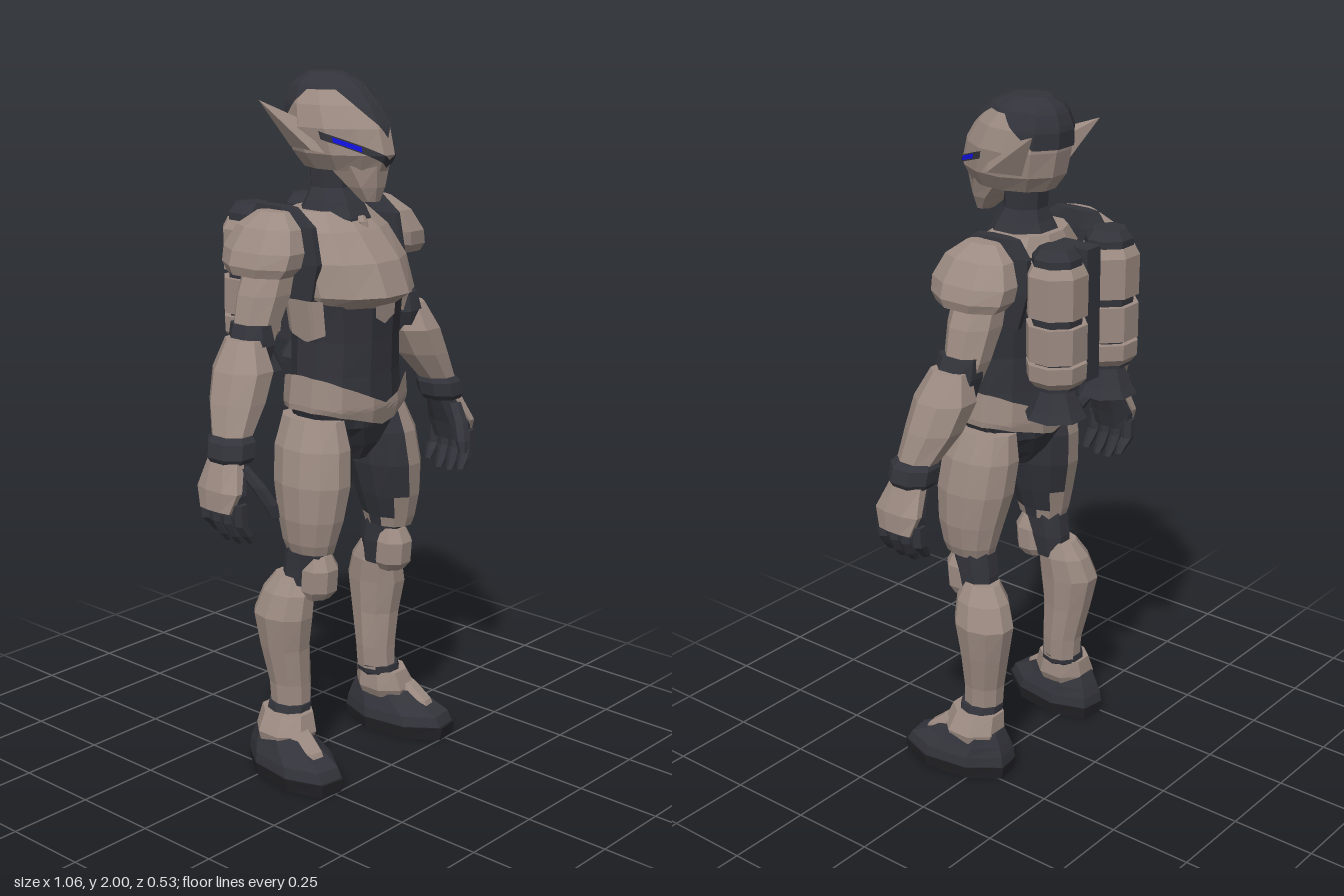
import * as THREE from 'three';
import { ConvexGeometry } from 'three/addons/geometries/ConvexGeometry.js';

const mat = (name, color) => Object.assign(new THREE.MeshStandardMaterial({ color }), { name });
const TAN = mat('tan armour', 0x9c8b82);
const DARK = mat('dark undersuit', 0x33343b);
const SOLE = mat('sole black', 0x232327);
const BLUE = mat('eye blue', 0x1414ff);

// A body is a stack of polygon rings: [y, centreX, centreZ, halfWidth, halfDepth], lowest first.
// Point on the ring stack at height y and angle t (0 = front, growing toward +x).
function surf(secs, n, pinch, t, y, grow = 0) {
  let i = 0;
  while (i < secs.length - 2 && y > secs[i + 1][0]) i++;
  const a = secs[i], b = secs[i + 1];
  const k = THREE.MathUtils.clamp((y - a[0]) / (b[0] - a[0]), 0, 1);
  const [, cx, cz, rx, rz] = a.map((v, j) => v + (b[j] - v) * k);
  const step = 2 * Math.PI / n, r = 1 / Math.cos(t - Math.round(t / step) * step);
  const narrow = 1 - pinch * Math.max(0, Math.cos(t));
  return [cx + Math.sin(t) * r * (rx + grow) * narrow, y, cz + Math.cos(t) * r * (rz + grow)];
}

// Flat-shaded mesh from triangles, each with its own material
function build(name, tris, mats) {
  const pos = [], geo = new THREE.BufferGeometry();
  mats.forEach((m, mi) => {
    const own = tris.filter(t => t.m === mi);
    geo.addGroup(pos.length / 3, own.length * 3, mi);
    own.forEach(t => pos.push(...t.p.flat()));
  });
  geo.setAttribute('position', new THREE.Float32BufferAttribute(pos, 3));
  geo.computeVertexNormals();
  const mesh = new THREE.Mesh(geo, mats.length > 1 ? mats : mats[0]);
  mesh.name = name;
  return mesh;
}

// Closed body; pick(x, y, z) of a face centre gives its index in mats
function loft(name, secs, mats, { n = 8, pinch = 0, pick = () => 0 } = {}) {
  const tris = [], step = 2 * Math.PI / n;
  const add = (...p) => {
    const c = [0, 1, 2].map(k => p.reduce((s, v) => s + v[k], 0) / p.length);
    const m = pick(...c);
    for (let i = 2; i < p.length; i++) tris.push({ p: [p[0], p[i - 1], p[i]], m });
  };
  const rings = secs.map(s => Array.from({ length: n }, (_, j) => surf(secs, n, pinch, (j + 0.5) * step, s[0])));
  for (let i = 1; i < rings.length; i++) for (let j = 0; j < n; j++) {
    const k = (j + 1) % n;
    add(rings[i - 1][j], rings[i - 1][k], rings[i][k], rings[i][j]);
  }
  add(...rings[rings.length - 1]);
  add(...rings[0].slice().reverse());
  return build(name, tris, [mats].flat());
}

// Thin plate lying on a body, between heights lo(t) and hi(t)
function shell(name, secs, m, { n, pinch = 0, t0 = -Math.PI, t1 = Math.PI, lo, hi, grow, cols = 48, rows = 8 }) {
  const tris = [];
  const pt = (i, j) => {
    const t = t0 + (t1 - t0) * i / cols, a = lo(t), b = hi(t);
    return surf(secs, n, pinch, t, a + (b - a) * j / rows, grow);
  };
  for (let i = 0; i < cols; i++) for (let j = 0; j < rows; j++) {
    const a = pt(i, j), b = pt(i + 1, j), c = pt(i + 1, j + 1), d = pt(i, j + 1);
    tris.push({ p: [a, b, c], m: 0 }, { p: [a, c, d], m: 0 });
  }
  return build(name, tris, [m]);
}

function makeHead() {
  const g = new THREE.Group();
  g.name = 'head';
  const secs = [[1.745, 0, .065, .085, .135], [1.79, 0, .06, .115, .162], [1.86, 0, .043, .125, .16],
    [1.92, 0, .022, .112, .142], [1.97, 0, .005, .085, .107], [2, 0, -.005, .045, .06]];
  const opt = { n: 12, pinch: .3 };
  g.add(loft('helmet', secs, [TAN, DARK], { ...opt, pick: (x, y) => +(y > 1.975) }));
  // Crest dips to a point in front and hangs lower at the back
  g.add(shell('crest', secs, DARK, { ...opt, grow: .006, hi: () => 1.99,
    lo: t => { const a = Math.abs(t); return a < 1.57 ? 1.835 + .125 * Math.min(1, a / .9) : 1.96 - .09 * Math.min(1, (a - 1.57) / .8); } }));
  const low = t => 1.755 + .055 * Math.abs(t);
  g.add(shell('visorSlit', secs, DARK, { ...opt, t0: -1.4, t1: 1.4, grow: .005, lo: low, hi: t => low(t) + .022 }));
  for (const s of [1, -1]) {
    g.add(shell('eye', secs, BLUE, { ...opt, t0: s > 0 ? .75 : -1.2, t1: s > 0 ? 1.2 : -.75, grow: .008,
      lo: t => low(t) + .004, hi: t => low(t) + .018, cols: 8, rows: 2 }));
    const fin = new ConvexGeometry([[.1, 1.79, .1], [.1, 1.86, .06], [.125, 1.8, .05], [.1, 1.8, -.05], [.1, 1.88, -.06],
      [.135, 1.86, -.03], [.148, 1.925, -.125]].map(([x, y, z]) => new THREE.Vector3(x * s, y, z)));
    const mesh = new THREE.Mesh(fin, TAN);
    mesh.name = 'helmetFin';
    g.add(mesh);
  }
  g.add(loft('jaw', [[1.66, 0, .158, .028, .022], [1.7, 0, .14, .052, .052], [1.76, 0, .1, .075, .1]], TAN, { pinch: .2 }));
  g.add(loft('neck', [[1.57, 0, .02, .1, .11], [1.61, 0, .02, .098, .1], [1.655, 0, .02, .078, .075], [1.69, 0, .015, .06, .058],
    [1.78, 0, .01, .06, .06]], DARK));
  return g;
}

function makeTorso() {
  const g = new THREE.Group();
  g.name = 'torso';
  g.add(loft('chest', [[1.37, 0, .06, .155, .14], [1.41, 0, .08, .172, .178], [1.5, 0, .055, .178, .165],
    [1.58, 0, .02, .165, .13], [1.63, 0, 0, .12, .09]], [TAN, DARK], { n: 12, pick: (x, y, z) => +(z < -.04 && y < 1.59) }));
  const waist = [[1.03, 0, .06, .15, .125], [1.09, 0, .065, .175, .135], [1.18, 0, .065, .165, .132], [1.28, 0, .065, .16, .135], [1.4, 0, .06, .175, .145]];
  g.add(loft('abdomen', waist, DARK, { n: 12 }));
  g.add(loft('pelvis', [[.92, 0, .07, .035, .06], [.97, 0, .065, .07, .1], [1.03, 0, .06, .14, .125], [1.09, 0, .06, .17, .13]], DARK));
  // Belt sags to a V at front and back
  const sag = t => .085 * Math.abs(Math.sin(t));
  g.add(shell('belt', waist, TAN, { n: 12, grow: .017, rows: 6, lo: t => 1.035 + sag(t) * .6, hi: t => 1.1 + sag(t) }));
  g.add(shell('sternumPlate', waist, TAN, { n: 12, grow: .008, t0: -.22, t1: .22, cols: 6, lo: t => 1.325 + .1 * Math.abs(t), hi: () => 1.39 }));
  for (const s of [1, -1]) {
    g.add(shell('ribPlate', waist, TAN, { n: 12, grow: .015, t0: s > 0 ? 1.1 : -2, t1: s > 0 ? 2 : -1.1, cols: 10,
      lo: t => 1.28 + .06 * Math.abs(Math.abs(t) - 1.5), hi: () => 1.4 }));
    g.add(loft('shoulderStrap', [[1.4, .172 * s, 0, .02, .1], [1.5, .175 * s, -.005, .024, .13], [1.6, .175 * s, -.015, .023, .12],
      [1.65, .175 * s, -.03, .018, .07]], DARK));
  }
  g.add(loft('collarClasp', [[1.585, 0, .13, .009, .015], [1.6, 0, .125, .016, .015], [1.615, 0, .12, .009, .012]], TAN));
  return g;
}

function makeArm(s) {
  const g = new THREE.Group();
  g.name = s > 0 ? 'leftArm' : 'rightArm';
  const part = (name, secs, m, opt) => g.add(loft(name, secs.map(([y, x, ...r]) => [y, x * s, ...r]), m, opt));
  part('shoulderPad', [[1.475, .27, -.01, .06, .1], [1.5, .262, -.01, .074, .12], [1.54, .252, -.01, .07, .125],
    [1.6, .232, -.01, .052, .1], [1.64, .212, -.01, .025, .05]], TAN);
  part('upperArm', [[1.27, .302, -.005, .045, .052], [1.33, .285, -.01, .06, .062], [1.42, .252, -.01, .072, .072], [1.52, .22, -.01, .06, .07]], TAN);
  part('elbow', [[1.23, .325, 0, .05, .055], [1.29, .312, 0, .06, .066], [1.345, .31, -.005, .042, .06]], DARK);
  part('forearm', [[1.06, .44, .045, .046, .056], [1.15, .392, .022, .07, .078], [1.23, .357, .01, .076, .085], [1.31, .342, .002, .045, .055]], TAN);
  part('wristBand', [[1, .452, .052, .05, .058], [1.015, .45, .052, .06, .068], [1.055, .442, .048, .06, .068], [1.07, .438, .046, .05, .058]], DARK);
  part('palm', [[.865, .492, .06, .024, .065], [.92, .485, .06, .033, .07], [1.01, .455, .052, .038, .05]], DARK);
  part('handPlate', [[.875, .518, .06, .01, .055], [.93, .502, .06, .024, .075], [1.005, .468, .052, .034, .055]], TAN);
  for (let i = 0; i < 4; i++) {
    const z = .0 + i * .042, d = i === 0 ? .02 : i === 3 ? .01 : 0;
    part('finger', [[.775 + d, .455, z + .006, .011, .011], [.8 + d, .472, z + .004, .016, .016],
      [.84, .49, z, .018, .018], [.9, .493, z, .018, .018]], DARK, { n: 6 });
  }
  part('thumb', [[.855, .408, .175, .011, .012], [.89, .415, .165, .018, .018], [.94, .435, .14, .019, .021], [.99, .455, .1, .016, .02]], DARK, { n: 6 });
  return g;
}

function makeLeg(s) {
  const g = new THREE.Group();
  g.name = s > 0 ? 'leftLeg' : 'rightLeg';
  const part = (name, secs, m, opt) => g.add(loft(name, secs.map(([y, x, ...r]) => [y, x * s, ...r]), m, opt));
  part('thigh', [[.68, .17, .085, .055, .075], [.71, .172, .085, .064, .085], [.78, .165, .085, .08, .102], [.88, .152, .078, .092, .12],
    [.98, .14, .068, .088, .12], [1.06, .13, .06, .065, .1]], [TAN, DARK], { n: 12, pick: x => +(x * s < .118) });
  part('kneeJoint', [[.55, .175, .05, .045, .05], [.62, .17, .06, .05, .062], [.71, .17, .08, .052, .07]], DARK);
  part('kneePad', [[.54, .165, .105, .038, .035], [.565, .163, .11, .052, .05], [.63, .163, .115, .052, .05], [.67, .163, .11, .036, .035]], TAN);
  part('shin', [[.2, .19, .025, .053, .058], [.27, .19, .022, .056, .06], [.38, .2, .012, .064, .074], [.48, .205, .01, .072, .092],
    [.55, .194, .022, .064, .08], [.6, .185, .03, .045, .052]], TAN, { n: 10 });
  part('ankleRing', [[.17, .205, .028, .05, .055], [.185, .2, .027, .06, .064], [.21, .195, .026, .058, .062]], DARK, { n: 10 });
  part('ankleCuff', [[.11, .225, .035, .07, .08], [.135, .222, .036, .078, .088], [.19, .21, .03, .062, .076]], TAN);
  // Foot, turned out a little
  const foot = new THREE.Group();
  foot.name = 'foot';
  foot.position.set(.235 * s, 0, .083);
  foot.rotation.y = .15 * s;
  foot.add(loft('sole', [[0, 0, 0, .084, .166], [.04, 0, 0, .092, .172]], SOLE));
  foot.add(loft('boot', [[.035, 0, -.002, .09, .168], [.07, 0, -.008, .086, .158], [.1, 0, -.035, .074, .122], [.14, 0, -.055, .06, .085]], DARK));
  foot.add(loft('instep', [[.06, 0, .02, .045, .1], [.105, 0, 0, .042, .1], [.15, 0, -.02, .036, .065]], TAN));
  g.add(foot);
  return g;
}

function makePack() {
  const g = new THREE.Group();
  g.name = 'backPack';
  for (const s of [1, -1]) {
    const tank = (name, m, ...rows) => g.add(loft(name, rows.map(([y, r]) => [y, .118 * s, -.185, r, r]), m));
    tank('tankCap', DARK, [1.56, .066], [1.61, .064], [1.635, .045]);
    tank('tankCore', DARK, [1.24, .06], [1.58, .07]);
    tank('tankUpper', TAN, [1.45, .08], [1.565, .081], [1.59, .068]);
    tank('tankMiddle', TAN, [1.325, .08], [1.425, .08]);
    tank('tankLower', TAN, [1.25, .062], [1.27, .078], [1.315, .08]);
    tank('nozzle', DARK, [1.155, .082], [1.18, .068], [1.235, .045], [1.255, .045]);
  }
  const bar = new THREE.Mesh(new THREE.BoxGeometry(.06, .38, .14), DARK);
  bar.name = 'packSpine';
  bar.position.set(0, 1.42, -.15);
  g.add(bar);
  return g;
}

export function createModel() {
  const model = new THREE.Group();
  model.name = 'armouredFigure';
  model.add(makeHead(), makeTorso(), makePack());
  for (const s of [1, -1]) model.add(makeArm(s), makeLeg(s));
  return model;
}
